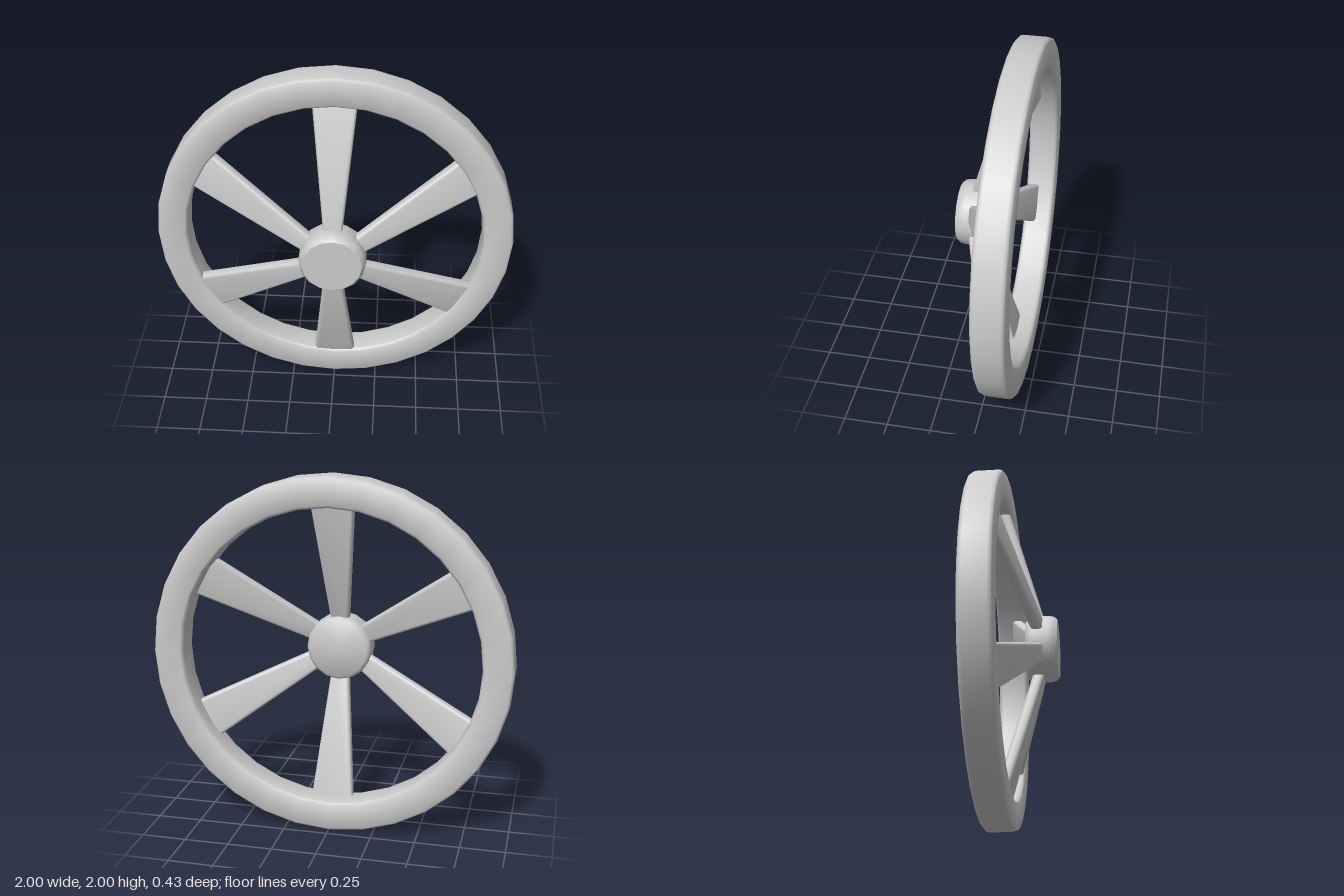
import * as THREE from 'three';
import { toCreasedNormals } from 'three/addons/utils/BufferGeometryUtils.js';

const material = new THREE.MeshStandardMaterial({ color: 0xcccccc });

function part(name, geometry) {
  const mesh = new THREE.Mesh(toCreasedNormals(geometry, 0.7), material);
  mesh.name = name;
  return mesh;
}

// Turns a profile of [radius, z] points around the z axis.
function turned(profile, segments) {
  const points = profile.map(([r, z]) => new THREE.Vector2(r, z));
  return new THREE.LatheGeometry(points, segments).rotateX(Math.PI / 2);
}

// Tapered flat bar with rounded edges, running up +y and leaning back.
function spokeGeometry() {
  const thickness = 0.064, bevel = 0.02, tilt = Math.atan(0.285);
  const shape = new THREE.Shape([
    new THREE.Vector2(-0.046, 0.1),
    new THREE.Vector2(0.046, 0.1),
    new THREE.Vector2(0.124, 0.92),
    new THREE.Vector2(-0.124, 0.92),
  ]);
  return new THREE.ExtrudeGeometry(shape, {
    depth: thickness - 2 * bevel,
    bevelThickness: bevel,
    bevelSize: bevel,
    bevelOffset: -bevel,
    bevelSegments: 3,
  })
    .translate(0, 0, bevel - thickness / 2)
    .rotateX(-tilt)
    .translate(0, 0, 0.153);
}

export function createModel() {
  const wheel = new THREE.Group();
  wheel.name = 'wheel';
  wheel.position.y = 1;

  // Rim with softened corners
  wheel.add(part('rim', turned([
    [0.985, -0.213], [0.996, -0.205], [1, -0.19], [1, -0.063], [0.996, -0.048], [0.985, -0.04],
    [0.848, -0.04], [0.837, -0.048], [0.832, -0.063], [0.832, -0.19], [0.837, -0.205], [0.848, -0.213],
    [0.985, -0.213],
  ], 32)));

  // Hub standing forward of the rim
  wheel.add(part('hub', turned([
    [0, 0.04], [0.163, 0.04], [0.179, 0.052], [0.186, 0.075],
    [0.186, 0.165], [0.18, 0.193], [0.163, 0.213], [0, 0.213],
  ], 16)));

  // Six spokes
  const spokes = new THREE.Group();
  spokes.name = 'spokes';
  const geometry = spokeGeometry();
  for (let i = 0; i < 6; i++) {
    const spoke = part('spoke', geometry);
    spoke.rotation.z = (i * Math.PI) / 3;
    spokes.add(spoke);
  }
  wheel.add(spokes);

  const model = new THREE.Group();
  model.name = 'spokedWheel';
  model.add(wheel);
  return model;
}
